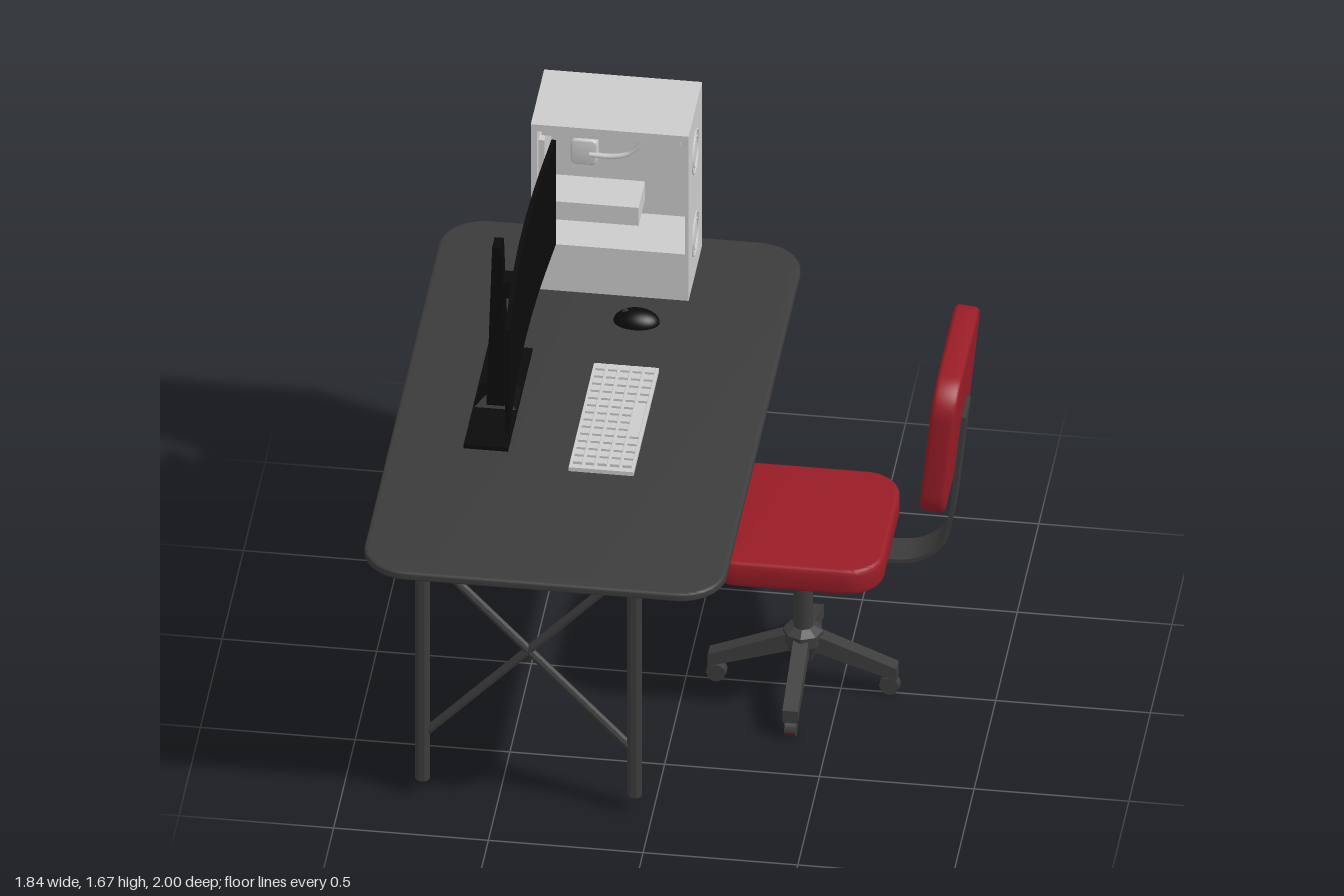
import * as THREE from 'three';
import { toCreasedNormals } from 'three/addons/utils/BufferGeometryUtils.js';

const mat = (color, flatShading = false) => new THREE.MeshStandardMaterial({ color, flatShading });
const GREY = mat(0xcccccc), DARK = mat(0x3c3c3c), BLACK = mat(0x0b0b0b), RED = mat(0x981c26), TREAD = mat(0x641820);
const METAL = mat(0x3c3c3c, true);

function add(parent, name, geo, material, x = 0, y = 0, z = 0) {
  const m = new THREE.Mesh(geo, material);
  m.name = name;
  m.position.set(x, y, z);
  parent.add(m);
  return m;
}

function group(parent, name, x = 0, y = 0, z = 0) {
  const g = new THREE.Group();
  g.name = name;
  g.position.set(x, y, z);
  parent.add(g);
  return g;
}

// Box given by its limits on each axis
function block(parent, name, material, [x0, x1], [y0, y1], [z0, z1]) {
  return add(parent, name, new THREE.BoxGeometry(x1 - x0, y1 - y0, z1 - z0), material,
    (x0 + x1) / 2, (y0 + y1) / 2, (z0 + z1) / 2);
}

// Flat slab with rounded corners and softened rims, centred, thickness along y
function slab(w, h, d, r, bevel) {
  const x = w / 2 - bevel, y = d / 2 - bevel, q = r - bevel;
  const s = new THREE.Shape();
  s.absarc(x - q, y - q, q, 0, Math.PI / 2);
  s.absarc(-x + q, y - q, q, Math.PI / 2, Math.PI);
  s.absarc(-x + q, -y + q, q, Math.PI, Math.PI * 1.5);
  s.absarc(x - q, -y + q, q, Math.PI * 1.5, Math.PI * 2);
  const g = new THREE.ExtrudeGeometry(s, {
    depth: h - 2 * bevel, bevelSize: bevel, bevelThickness: bevel, bevelSegments: 3, curveSegments: 8,
  });
  g.translate(0, 0, bevel - h / 2).rotateX(-Math.PI / 2);
  return toCreasedNormals(g, 0.6);
}

// Strip of constant thickness following a 2D curve, extruded and centred along z
function ribbon(curve, thickness, width, n = 24) {
  const a = [], b = [];
  for (let i = 0; i <= n; i++) {
    const p = curve.getPoint(i / n), t = curve.getTangent(i / n);
    const off = new THREE.Vector2(-t.y, t.x).multiplyScalar(thickness / 2);
    a.push(p.clone().add(off));
    b.unshift(p.clone().sub(off));
  }
  const g = new THREE.ExtrudeGeometry(new THREE.Shape([...a, ...b]), { depth: width, bevelEnabled: false });
  return toCreasedNormals(g.translate(0, 0, -width / 2), 0.6);
}

const spline = (...pts) => new THREE.SplineCurve(pts.map(([x, y]) => new THREE.Vector2(x, y)));

function buildDesk(root) {
  const desk = group(root, 'desk');
  add(desk, 'deskTop', slab(1.17, 0.03, 2, 0.15, 0.011), DARK, -0.335, 1, 0);
  for (const z of [-0.765, 0.765]) {
    for (const x of [-0.745, -0.06]) {
      const leg = new THREE.CylinderGeometry(0.025, 0.025, 0.93, 8).rotateY(Math.PI / 8);
      add(desk, 'deskLeg', leg, METAL, x, 0.525, z);
    }
    // Crossed braces between the two legs
    for (const s of [-1, 1]) {
      const brace = add(desk, 'crossBrace', new THREE.CylinderGeometry(0.015, 0.015, 0.95, 8), METAL, -0.4025, 0.59, z);
      brace.rotation.z = s * Math.atan2(0.655, 0.69);
    }
  }
}

function buildMonitor(root) {
  const g = group(root, 'monitor');
  // Curved panel, ends bent towards the user
  const panel = ribbon(spline([-0.503, -0.54], [-0.52, -0.27], [-0.526, 0], [-0.52, 0.27], [-0.503, 0.54]), 0.015, 0.405);
  add(g, 'screen', panel.rotateX(-Math.PI / 2), BLACK, 0, 1.4675, 0);
  block(g, 'standBase', BLACK, [-0.68, -0.537], [1.015, 1.03], [-0.285, 0.28]);
  // Four-sided tapered pieces
  const frustum = (top, bottom, h) => new THREE.CylinderGeometry(top * Math.SQRT1_2, bottom * Math.SQRT1_2, h, 4).rotateY(Math.PI / 4);
  const black = mat(0x0b0b0b, true);
  add(g, 'standFoot', frustum(0.06, 0.14, 0.035), black, -0.608, 1.045, 0);
  const column = add(g, 'standColumn', frustum(0.06, 0.12, 0.61), black, -0.608, 1.325, 0);
  column.scale.x = 0.5;
  block(g, 'mount', BLACK, [-0.59, -0.55], [1.44, 1.5], [-0.035, 0.035]);
  block(g, 'mountPlate', BLACK, [-0.555, -0.53], [1.415, 1.53], [-0.06, 0.06]);
}

function buildComputer(root) {
  const g = group(root, 'computer');
  const X = [-0.59, -0.08], Z = [-0.94, -0.63];
  // Case walls around an opening on the +z side
  block(g, 'caseBack', GREY, X, [1.02, 1.66], [-0.94, -0.84]);
  block(g, 'caseTop', GREY, X, [1.635, 1.66], Z);
  block(g, 'lowerCompartment', GREY, X, [1.02, 1.2], Z);
  block(g, 'caseRearWall', GREY, [-0.59, -0.57], [1.2, 1.635], Z);
  block(g, 'caseFrontWall', GREY, [-0.092, -0.08], [1.2, 1.635], Z);
  // Inner parts
  block(g, 'radiator', GREY, [-0.56, -0.11], [1.6, 1.62], [-0.84, -0.66]);
  block(g, 'expansionCard', GREY, [-0.57, -0.25], [1.255, 1.325], [-0.84, -0.69]);
  block(g, 'rearFan', GREY, [-0.57, -0.55], [1.4, 1.58], [-0.82, -0.66]);
  add(g, 'coolerPump', slab(0.085, 0.06, 0.095, 0.018, 0.005).rotateX(Math.PI / 2), GREY, -0.44, 1.46, -0.81);
  for (const d of [0, 0.022]) {
    const hose = new THREE.CatmullRomCurve3([[-0.42, 1.45], [-0.34, 1.45], [-0.285, 1.47], [-0.25, 1.53], [-0.238, 1.605]]
      .map(([x, y]) => new THREE.Vector3(x, y + d * 0.6, -0.79 + d)));
    add(g, 'coolerHose', new THREE.TubeGeometry(hose, 20, 0.008, 8), GREY);
  }
  // Fan rings on the +x face
  for (const y of [1.18, 1.5]) {
    for (const r of [0.072, 0.05]) {
      const ring = new THREE.TorusGeometry(r, 0.004, 8, 32).rotateY(Math.PI / 2);
      add(g, 'fanRing', ring, GREY, -0.08, y, -0.78);
    }
  }
}

function buildInputs(root) {
  const keyboard = group(root, 'keyboard');
  block(keyboard, 'keyboardBody', GREY, [-0.33, -0.12], [1.015, 1.03], [-0.23, 0.36]);
  const pitchX = 0.04, pitchZ = 0.0405;
  for (let r = 0; r < 5; r++) {
    for (let c = 0; c < 14; c++) {
      // Space bar spans five key widths in the row nearest the chair
      if (r === 4 && c > 5 && c < 10) continue;
      const span = r === 4 && c === 5 ? 5 : 1;
      const z = -0.217 + c * pitchZ, x = -0.319 + r * pitchX;
      block(keyboard, span > 1 ? 'spaceBar' : 'key', GREY, [x, x + 0.029], [1.03, 1.04], [z, z + span * pitchZ - 0.011]);
    }
  }
  const mouse = group(root, 'mouse', -0.23, 1.015, -0.5);
  const body = new THREE.SphereGeometry(1, 24, 10, 0, Math.PI * 2, 0, Math.PI / 2).scale(0.075, 0.044, 0.05);
  add(mouse, 'mouseBody', body, BLACK);
  add(mouse, 'scrollWheel', new THREE.CylinderGeometry(0.012, 0.012, 0.008, 16).rotateX(Math.PI / 2), DARK, -0.035, 0.032, 0);
}

function buildChair(root) {
  const chair = group(root, 'chair');
  add(chair, 'seat', slab(0.58, 0.092, 0.58, 0.12, 0.015), RED, 0.375, 0.61, 0);
  const back = add(chair, 'backrest', slab(0.515, 0.08, 0.58, 0.11, 0.015).rotateZ(Math.PI / 2), RED, 0.852, 1.125, 0);
  back.rotation.z = -0.1;
  const path = spline([0.345, 0.555], [0.52, 0.555], [0.69, 0.555], [0.77, 0.575], [0.838, 0.64], [0.863, 0.75], [0.884, 0.94], [0.905, 1.135]);
  add(chair, 'backSupport', ribbon(path, 0.014, 0.12, 40), DARK);

  // Swivel base: post, hub and four legs with casters
  const base = group(chair, 'swivelBase', 0.378, 0, 0);
  add(base, 'post', new THREE.CylinderGeometry(0.032, 0.032, 0.36, 12), DARK, 0, 0.38, 0);
  add(base, 'hub', new THREE.CylinderGeometry(0.065, 0.065, 0.04, 8), METAL, 0, 0.2, 0);
  add(base, 'hubCollar', new THREE.CylinderGeometry(0.035, 0.065, 0.018, 8), METAL, 0, 0.229, 0);
  add(base, 'hubCone', new THREE.CylinderGeometry(0.065, 0.032, 0.07, 8), METAL, 0, 0.145, 0);
  const profile = new THREE.Shape([[0.02, 0.155], [0.305, 0.062], [0.305, 0.108], [0.04, 0.215]].map(([x, y]) => new THREE.Vector2(x, y)));
  for (let i = 0; i < 4; i++) {
    const arm = group(base, 'casterLeg');
    arm.rotation.y = i * Math.PI / 2;
    const leg = new THREE.ExtrudeGeometry(profile, { depth: 0.05, bevelEnabled: false }).translate(0, 0, -0.025);
    add(arm, 'leg', leg, DARK);
    const disc = (r, w) => new THREE.CylinderGeometry(r, r, w, 16).rotateX(Math.PI / 2);
    add(arm, 'casterTread', disc(0.03, 0.03), TREAD, 0.28, 0.03, 0);
    for (const s of [-1, 1]) add(arm, 'casterCap', disc(0.0295, 0.004), DARK, 0.28, 0.03, s * 0.016);
    const hood = new THREE.CylinderGeometry(0.033, 0.033, 0.036, 16, 1, false, 0, Math.PI).rotateX(-Math.PI / 2).rotateZ(Math.PI / 2);
    const cover = add(arm, 'casterHood', hood, mat(0x3c3c3c), 0.28, 0.03, 0);
    cover.material.side = THREE.DoubleSide;
    add(arm, 'casterStem', new THREE.CylinderGeometry(0.01, 0.01, 0.03, 8), DARK, 0.28, 0.066, 0);
  }
}

export function createModel() {
  const root = new THREE.Group();
  root.name = 'workstation';
  buildDesk(root);
  buildMonitor(root);
  buildComputer(root);
  buildInputs(root);
  buildChair(root);
  return root;
}
